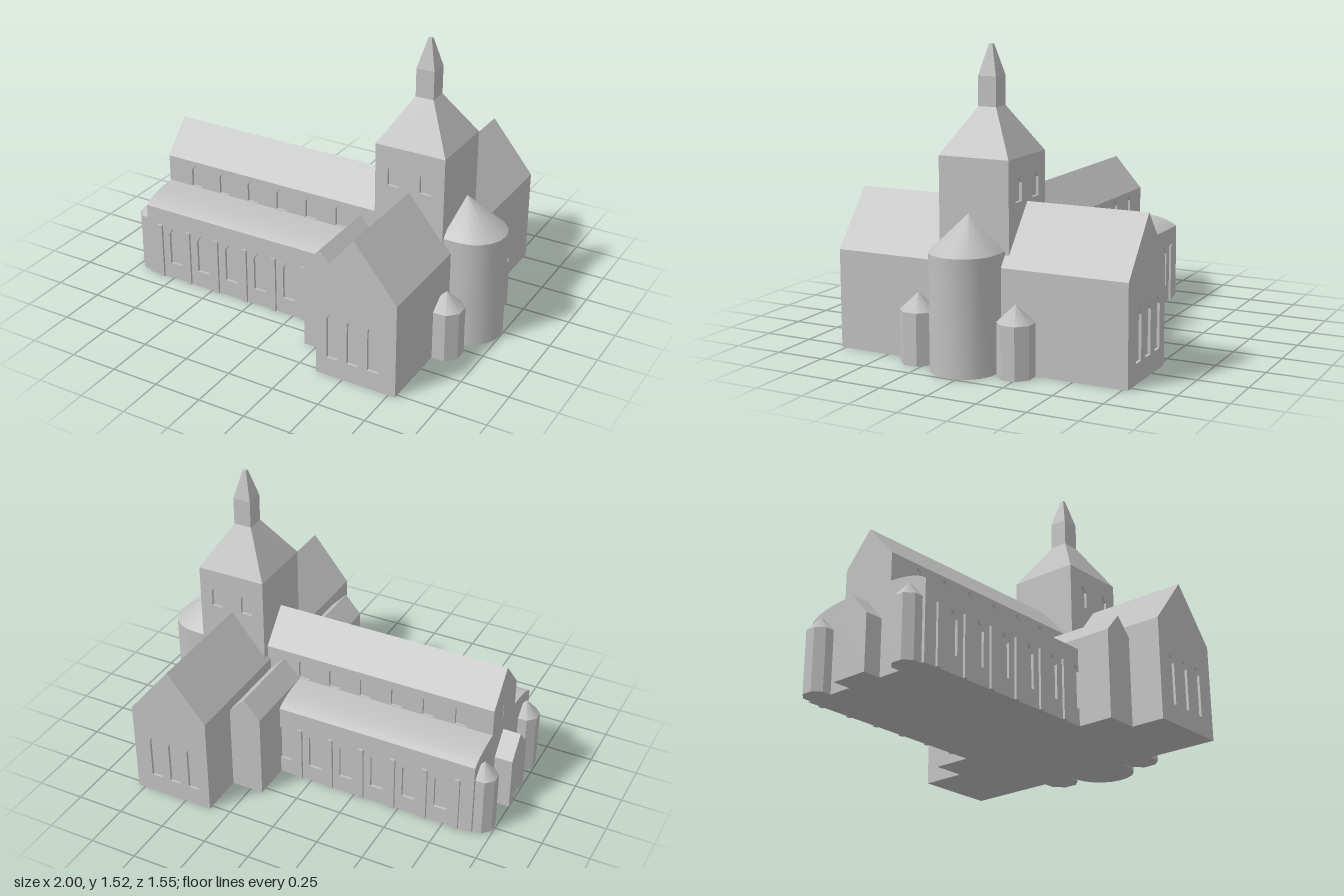
import * as THREE from 'three';
import { toCreasedNormals } from 'three/addons/utils/BufferGeometryUtils.js';

const AXIS = 0.035; // z of the long axis
const RECESS = 0.014; // depth of window niches

export function createModel() {
  const church = new THREE.Group();
  church.name = 'church';
  const stone = new THREE.MeshStandardMaterial({ color: 0xc0c0c0 });
  stone.name = 'stone grey';

  function add(name, geometry, parent = church) {
    const mesh = new THREE.Mesh(geometry, stone);
    mesh.name = name;
    parent.add(mesh);
    return mesh;
  }

  // Extrudes a [u, y] outline from a to b along the x or z axis
  function prism(axis, points, a, b, holes = []) {
    const s = axis === 'x' ? -1 : 1;
    const flip = (list) => list.map(([u, y]) => new THREE.Vector2(s * u, y));
    const shape = new THREE.Shape(flip(points));
    for (const hole of holes) shape.holes.push(new THREE.Path(flip(hole)));
    const geo = new THREE.ExtrudeGeometry(shape, { depth: b - a, bevelEnabled: false });
    geo.translate(0, 0, a);
    if (axis === 'x') geo.rotateY(Math.PI / 2);
    return geo;
  }

  const rect = (u0, u1, y0, y1) => [[u0, y0], [u1, y0], [u1, y1], [u0, y1]];

  // Outline of a pointed window
  function lancet(u, width, bottom, shoulder, tip) {
    const w = width / 2;
    return [[u - w, bottom], [u + w, bottom], [u + w, shoulder],
      [u + w * 0.5, shoulder + (tip - shoulder) * 0.6], [u, tip],
      [u - w * 0.5, shoulder + (tip - shoulder) * 0.6], [u - w, shoulder]];
  }

  // A block with a solid core and four wall panels pierced by niches
  function walls(name, [x0, x1], [y0, y1], [z0, z1], { front = [], back = [], east = [], west = [] }) {
    const group = new THREE.Group();
    group.name = name;
    church.add(group);
    const d = RECESS;
    add('core', prism('z', rect(x0 + d, x1 - d, y0, y1), z0 + d, z1 - d), group);
    add('frontWall', prism('z', rect(x0, x1, y0, y1), z1 - d, z1, front), group);
    add('backWall', prism('z', rect(x0, x1, y0, y1), z0, z0 + d, back), group);
    const side = rect(z0 + d, z1 - d, y0, y1);
    add('eastWall', prism('x', side, x1 - d, x1, east), group);
    add('westWall', prism('x', side, x0, x0 + d, west), group);
  }

  // Nave aisles with curved lean-to roofs
  const bays = Array.from({ length: 6 }, (_, i) => -0.73 + i * 0.177);
  const aisleWindows = bays.map((x) => lancet(x, 0.07, 0.09, 0.27, 0.315));
  walls('aisles', [-0.905, 0.365], [0, 0.405], [-0.335, 0.405], { front: aisleWindows, back: aisleWindows });
  for (const s of [1, -1]) {
    const curve = new THREE.QuadraticBezierCurve(
      new THREE.Vector2(0.37, 0.405), new THREE.Vector2(0.305, 0.452), new THREE.Vector2(0.145, 0.46));
    const profile = curve.getPoints(6).map((p) => [AXIS + s * p.x, p.y]);
    profile.push([AXIS + s * 0.145, 0.405]);
    add('aisleRoof', toCreasedNormals(prism('x', profile, -0.905, 0.365), 0.4));
    // Buttresses between the bays
    for (const x of bays) {
      const buttress = add('buttress', new THREE.BoxGeometry(0.027, 0.31, 0.03));
      buttress.position.set(x - 0.09, 0.155, AXIS + s * 0.367);
    }
  }

  // Upper nave and its gabled roof
  const upperWindows = bays.map((x) => lancet(x, 0.06, 0.462, 0.555, 0.59));
  walls('clerestory', [-0.905, 0.45], [0.3, 0.605], [AXIS - 0.15, AXIS + 0.15], {
    front: upperWindows, back: upperWindows,
    west: [-0.042, 0.042].map((z) => lancet(AXIS + z, 0.05, 0.45, 0.555, 0.59)),
  });
  add('naveRoof', prism('x', [[AXIS - 0.15, 0.605], [AXIS + 0.15, 0.605], [AXIS, 0.775]], -0.905, 0.45));

  // West porch with a door niche
  walls('porch', [-1, -0.89], [0, 0.287], [AXIS - 0.097, AXIS + 0.097], {
    west: [lancet(AXIS, 0.07, 0.005, 0.1, 0.14)],
  });
  add('porchRoof', prism('x', [[AXIS - 0.097, 0.287], [AXIS + 0.097, 0.287], [AXIS, 0.4]], -1, -0.89));

  // Transept
  const endWindows = [0.445, 0.555, 0.665].map((x) => lancet(x, 0.06, 0.1, 0.32, 0.36));
  walls('transept', [0.355, 0.787], [0, 0.5], [-0.775, 0.772], {
    front: endWindows, back: endWindows,
    east: [0.645, 0.53, -0.445, -0.56].map((z) => lancet(z, 0.055, 0.1, 0.325, 0.36)),
  });
  add('transeptRoof', prism('z',
    [[0.355, 0.5], [0.787, 0.5], [0.558, 0.78], [0.355, 0.53]], -0.775, 0.772));

  // Lower gabled range beside the transept
  add('sideRange', prism('z',
    [[0.182, 0], [0.36, 0], [0.36, 0.465], [0.27, 0.56], [0.182, 0.46]], -0.54, 0.593));

  // Crossing tower
  const TX = 0.558;
  const TZ = 0.038;
  const belfry = (c) => [-0.087, 0.087].map((o) => lancet(c + o, 0.062, 0.79, 0.88, 0.91));
  walls('tower', [TX - 0.187, TX + 0.187], [0.4, 1], [TZ - 0.187, TZ + 0.187], {
    front: belfry(TX), back: belfry(TX), east: belfry(TZ), west: belfry(TZ),
  });
  // Square tapering stages: half width at bottom and top, then heights
  for (const [name, low, high, y0, y1] of [
    ['towerRoof', 0.187, 0.048, 1, 1.225],
    ['lantern', 0.048, 0.048, 1.225, 1.37],
    ['spire', 0.048, 0.009, 1.37, 1.52],
  ]) {
    const geo = new THREE.CylinderGeometry(high * Math.SQRT2, low * Math.SQRT2, y1 - y0, 4);
    geo.rotateY(Math.PI / 4);
    add(name, toCreasedNormals(geo, 0.3)).position.set(TX, (y0 + y1) / 2, TZ);
  }

  // Apse: straight sides ending in a half round
  const plan = [[0.735, 0.17]];
  for (let i = 0; i <= 10; i++) {
    const a = Math.PI / 2 - (i / 10) * Math.PI;
    plan.push([0.828 + 0.17 * Math.cos(a), 0.17 * Math.sin(a)]);
  }
  plan.push([0.735, -0.17]);
  const outline = new THREE.Shape(plan.map(([x, z]) => new THREE.Vector2(x, -z)));
  const apse = new THREE.ExtrudeGeometry(outline, { depth: 0.57, bevelEnabled: false });
  apse.rotateX(-Math.PI / 2);
  add('apse', toCreasedNormals(apse, 0.6)).position.z = 0.042;

  // Apse roof: a fan from the plan up to an off-centre apex
  const fan = [];
  plan.forEach(([x, z], i) => {
    const [nx, nz] = plan[(i + 1) % plan.length];
    fan.push(x, 0.57, z, nx, 0.57, nz, 0.785, 0.745, 0);
  });
  const apseRoof = new THREE.BufferGeometry();
  apseRoof.setAttribute('position', new THREE.Float32BufferAttribute(fan, 3));
  add('apseRoof', toCreasedNormals(apseRoof, 0.6)).position.z = 0.042;

  // Eight-sided turrets with pointed caps
  function turret(name, x, z, r, eaves, tip) {
    const group = new THREE.Group();
    group.name = name;
    group.position.set(x, 0, z);
    group.rotation.y = Math.PI / 8;
    church.add(group);
    const body = toCreasedNormals(new THREE.CylinderGeometry(r, r, eaves, 8), 0.3);
    add('turretBody', body, group).position.y = eaves / 2;
    add('turretCap', new THREE.ConeGeometry(r, tip - eaves, 8), group).position.y = (eaves + tip) / 2;
  }
  for (const s of [1, -1]) {
    turret('eastTurret', 0.818, 0.04 + s * 0.263, 0.092, 0.26, 0.345);
    turret('westTurret', -0.925, AXIS + s * 0.287, 0.072, 0.32, 0.4);
  }

  return church;
}
